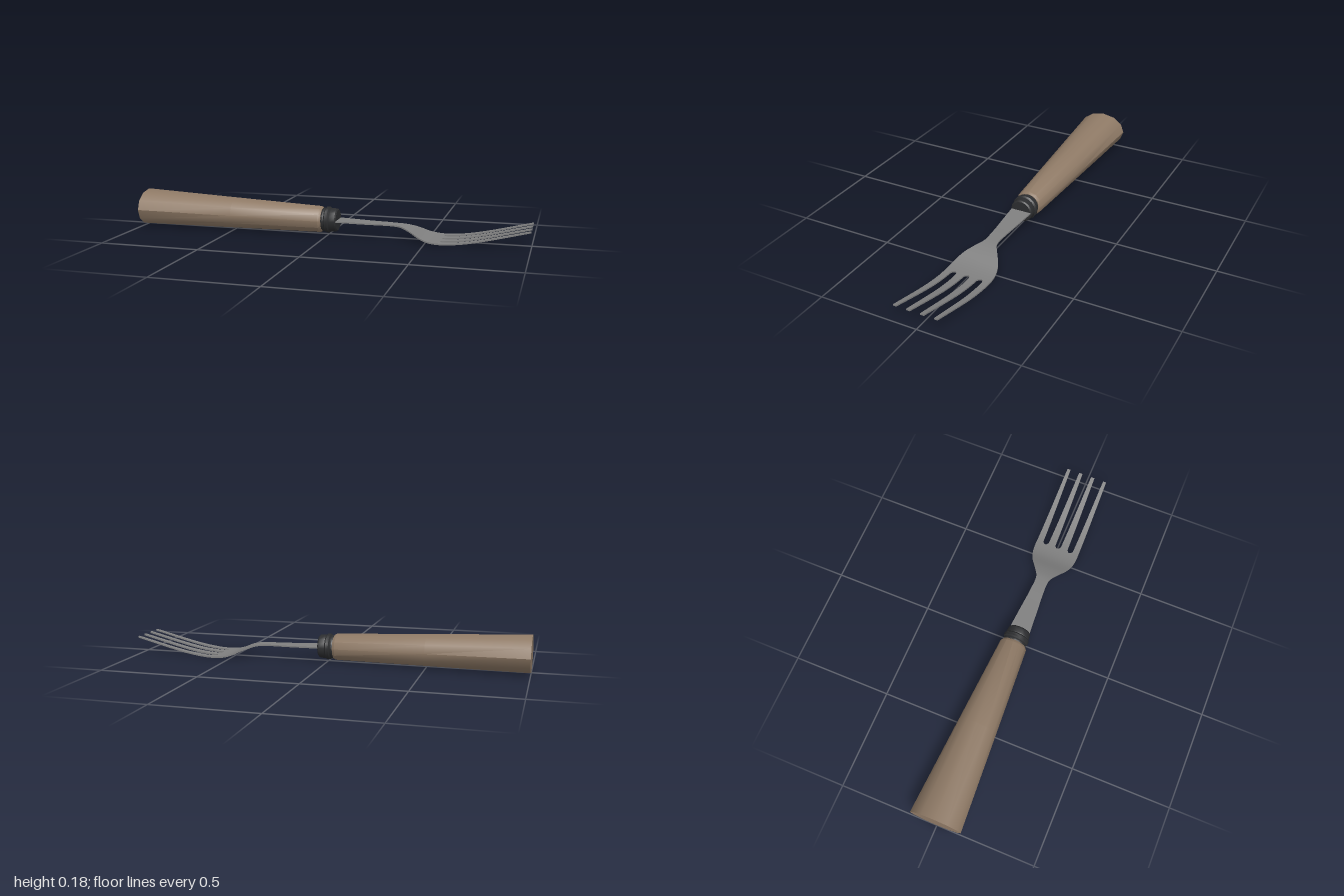
import * as THREE from 'three';
import { toCreasedNormals } from 'three/addons/utils/BufferGeometryUtils.js';

const wood = new THREE.MeshStandardMaterial({ color: 0x8f7a66 });
wood.name = 'wood';
const collarBlack = new THREE.MeshStandardMaterial({ color: 0x2c2d2f });
collarBlack.name = 'collarBlack';
const steel = new THREE.MeshStandardMaterial({ color: 0x808080 });
steel.name = 'steel';

const lerp = THREE.MathUtils.lerp;
const clamp01 = (t) => THREE.MathUtils.clamp(t, 0, 1);

// Smooth curve y(x) through a few points
function curveThrough(points) {
  const n = points.length;
  const slope = (i) => {
    const a = points[Math.max(i - 1, 0)], b = points[Math.min(i + 1, n - 1)];
    return (b[1] - a[1]) / (b[0] - a[0]);
  };
  return (x) => {
    let i = 0;
    while (i < n - 2 && x > points[i + 1][0]) i++;
    const [x0, y0] = points[i], [x1, y1] = points[i + 1];
    const h = x1 - x0, t = clamp01((x - x0) / h), t2 = t * t, t3 = t2 * t;
    return (2 * t3 - 3 * t2 + 1) * y0 + (t3 - 2 * t2 + t) * h * slope(i)
      + (3 * t2 - 2 * t3) * y1 + (t3 - t2) * h * slope(i + 1);
  };
}

// Height of the metal along its length, and half its width
const height = curveThrough([[0.03, 0.074], [0.2, 0.07], [0.36, 0.066], [0.42, 0.051], [0.5, 0.018],
  [0.56, 0.009], [0.64, 0.012], [0.76, 0.032], [1, 0.091]]);
const halfWidth = curveThrough([[0.03, 0.054], [0.16, 0.044], [0.29, 0.034], [0.36, 0.036], [0.41, 0.065],
  [0.46, 0.097], [0.52, 0.115], [0.6, 0.117], [1, 0.111]]);

const ROOT = 0.572;
// Half width of a slot, with a rounded root
function slotHalf(x) {
  const s = clamp01((x - ROOT) / 0.02);
  return lerp(0.015, 0.025, (x - ROOT) / (1 - ROOT)) * Math.sqrt(1 - (1 - s) ** 2);
}

// Thin bent plate between two edge functions
function plate(name, x0, x1, lower, upper, segments, power = 1) {
  const geo = new THREE.BoxGeometry(1, 0.007, 1, segments, 1, 2);
  const p = geo.attributes.position;
  for (let i = 0; i < p.count; i++) {
    const x = lerp(x0, x1, (p.getX(i) + 0.5) ** power);
    p.setXYZ(i, x, height(x) + p.getY(i), lerp(lower(x), upper(x), p.getZ(i) + 0.5));
  }
  const mesh = new THREE.Mesh(toCreasedNormals(geo, 0.7), steel);
  mesh.name = name;
  return mesh;
}

// Turned part along x: profile points are [x, radius]
function turned(name, profile, sides, material, reshape) {
  const geo = new THREE.LatheGeometry(profile.map(([x, r]) => new THREE.Vector2(r, x)), sides);
  geo.rotateZ(-Math.PI / 2);
  const p = geo.attributes.position;
  for (let i = 0; i < p.count; i++) p.setY(i, reshape(p.getX(i), p.getY(i)));
  const mesh = new THREE.Mesh(toCreasedNormals(geo, 0.65), material);
  mesh.name = name;
  return mesh;
}

export function createModel() {
  const group = new THREE.Group();
  group.name = 'fork';

  // Handle: flattened at the butt, round at the collar
  group.add(turned('handle',
    [[-1, 0], [-1, 0.13], [-0.5, 0.099], [-0.045, 0.07], [-0.032, 0.062], [-0.032, 0]],
    12, wood, (x, y) => {
      const t = (x + 1) / 0.97;
      return lerp(0.0935, 0.074, t) + y * lerp(0.0925, 0.067, t) / lerp(0.13, 0.069, t);
    }));

  // Beaded collar
  group.add(turned('collar',
    [[-0.04, 0], [-0.04, 0.054], [-0.026, 0.06], [-0.018, 0.058], [-0.012, 0.065], [0.002, 0.066],
      [0.009, 0.059], [0.015, 0.061], [0.04, 0.058], [0.046, 0.052], [0.046, 0]],
    16, collarBlack, (x, y) => 0.074 + y));

  // Neck and bowl
  group.add(plate('neckAndBowl', 0.03, ROOT, (x) => -halfWidth(x), halfWidth, 40));

  // Four tines separated by three slots
  const slots = [-0.069, 0, 0.069];
  for (let i = 0; i < 4; i++) {
    const lower = (x) => (i === 0 ? -halfWidth(x) : slots[i - 1] + slotHalf(x));
    const upper = (x) => (i === 3 ? halfWidth(x) : slots[i] - slotHalf(x));
    group.add(plate('tine' + (i + 1), ROOT, 1, lower, upper, 28, 2));
  }
  return group;
}
